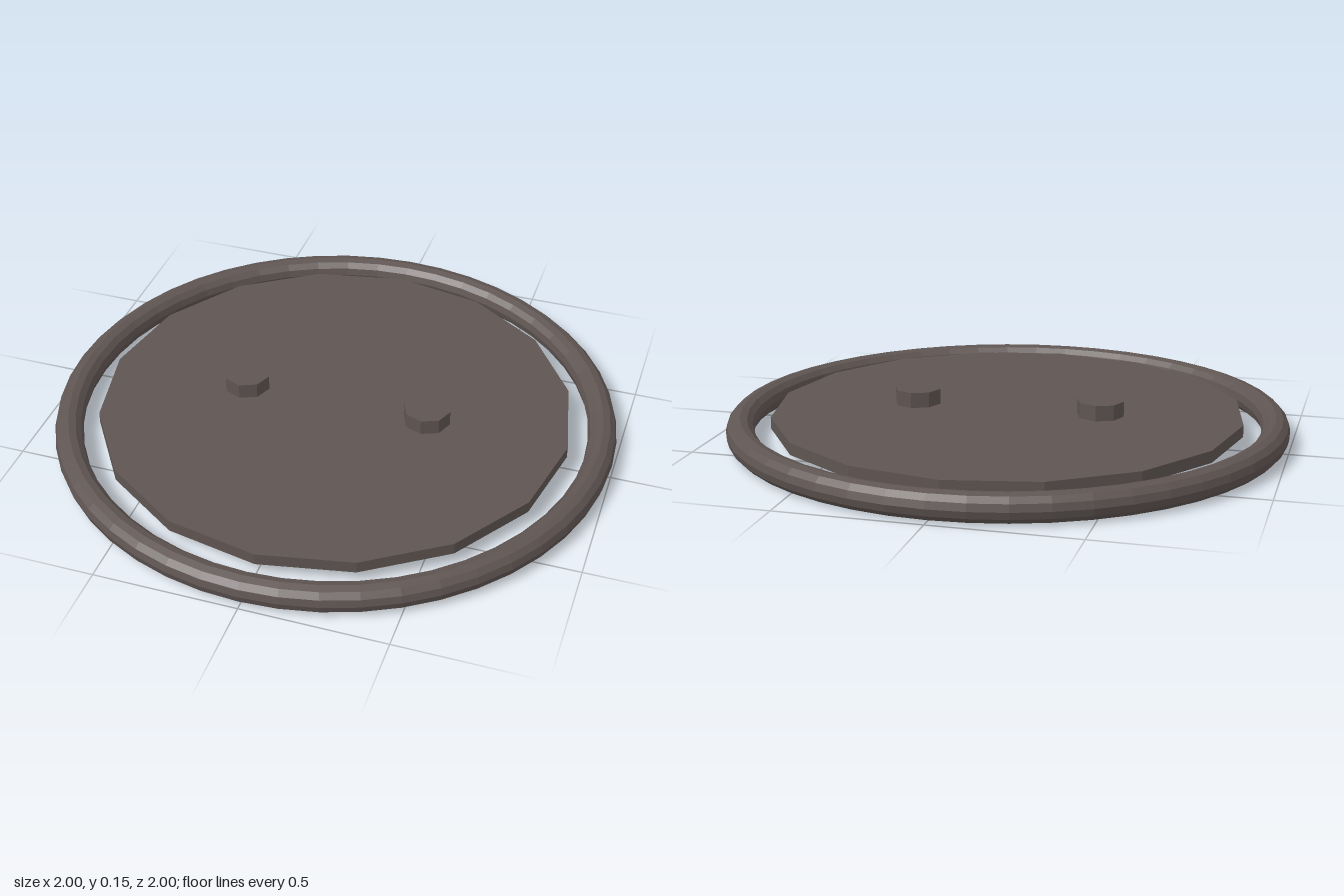
import * as THREE from 'three';

export function createModel() {
  const model = new THREE.Group();
  const metal = new THREE.MeshStandardMaterial({ color: 0x5f5552, flatShading: true });
  metal.name = 'dark warm grey';

  const add = (name, geometry, x, y) => {
    const mesh = new THREE.Mesh(geometry, metal);
    mesh.name = name;
    mesh.position.set(x, y, 0);
    model.add(mesh);
  };

  // Round outer rim, lying flat
  add('rim', new THREE.TorusGeometry(0.95, 0.05, 12, 48).rotateX(Math.PI / 2), 0, 0.05);

  // Sixteen-sided cover plate, set inside the rim with a gap
  const plateBottom = 0.051, plateHeight = 0.042;
  add('coverPlate', new THREE.CylinderGeometry(0.842, 0.842, plateHeight, 16), 0, plateBottom + plateHeight / 2);

  // Two octagonal lifting studs
  const studHeight = 0.055;
  for (const [name, side] of [['leftStud', 1], ['rightStud', -1]]) {
    add(name, new THREE.CylinderGeometry(0.084, 0.084, studHeight, 8), side * 0.337, plateBottom + plateHeight + studHeight / 2);
  }
  return model;
}
